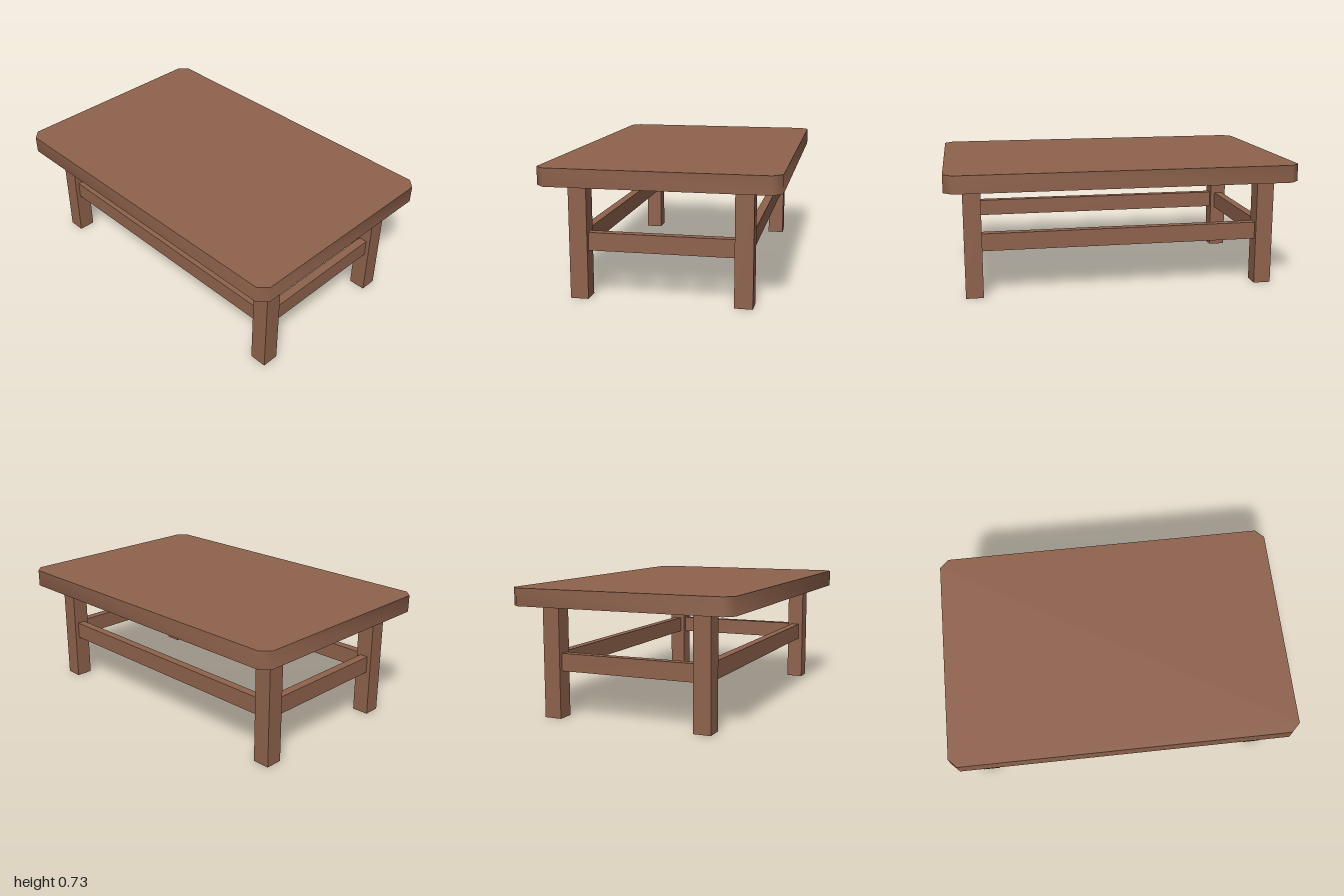
import * as THREE from 'three';
import { toCreasedNormals } from 'three/addons/utils/BufferGeometryUtils.js';

const LEG = 0.1, LEG_X = 0.45, LEG_Z = 0.85; // leg thickness and centres
const LEG_H = 0.633, TOP_H = 0.1;
const RAIL_Y = 0.317, RAIL_H = 0.1, RAIL_T = 0.05;

export function createModel() {
  const group = new THREE.Group();
  const wood = new THREE.MeshStandardMaterial({ color: 0x8f624c });

  const add = (name, geometry, x, y, z) => {
    const mesh = new THREE.Mesh(geometry, wood);
    mesh.name = name;
    mesh.position.set(x, y, z);
    group.add(mesh);
    return mesh;
  };

  // Tabletop: slab with clipped corners, softly shaded round the rim
  const w = 0.65, d = 1, c = 0.05;
  const outline = new THREE.Shape([
    [w, c - d], [w, d - c], [w - c, d], [c - w, d],
    [-w, d - c], [-w, c - d], [c - w, -d], [w - c, -d],
  ].map(([x, y]) => new THREE.Vector2(x, y)));
  const slab = new THREE.ExtrudeGeometry(outline, { depth: TOP_H, bevelEnabled: false });
  slab.rotateX(-Math.PI / 2);
  add('tabletop', toCreasedNormals(slab, 1), 0, LEG_H, 0);

  // Four square legs
  const leg = new THREE.BoxGeometry(LEG, LEG_H, LEG);
  for (const [sz, end] of [[1, 'front'], [-1, 'back']]) {
    for (const [sx, side] of [[1, 'Left'], [-1, 'Right']]) {
      add(`${end}${side}Leg`, leg, sx * LEG_X, LEG_H / 2, sz * LEG_Z);
    }
  }

  // Thin rails between the legs, centred on their thickness
  const sideRail = new THREE.BoxGeometry(RAIL_T, RAIL_H, 2 * LEG_Z - LEG);
  const endRail = new THREE.BoxGeometry(2 * LEG_X - LEG, RAIL_H, RAIL_T);
  add('leftRail', sideRail, LEG_X, RAIL_Y, 0);
  add('rightRail', sideRail, -LEG_X, RAIL_Y, 0);
  add('frontRail', endRail, 0, RAIL_Y, LEG_Z);
  add('backRail', endRail, 0, RAIL_Y, -LEG_Z);

  return group;
}
